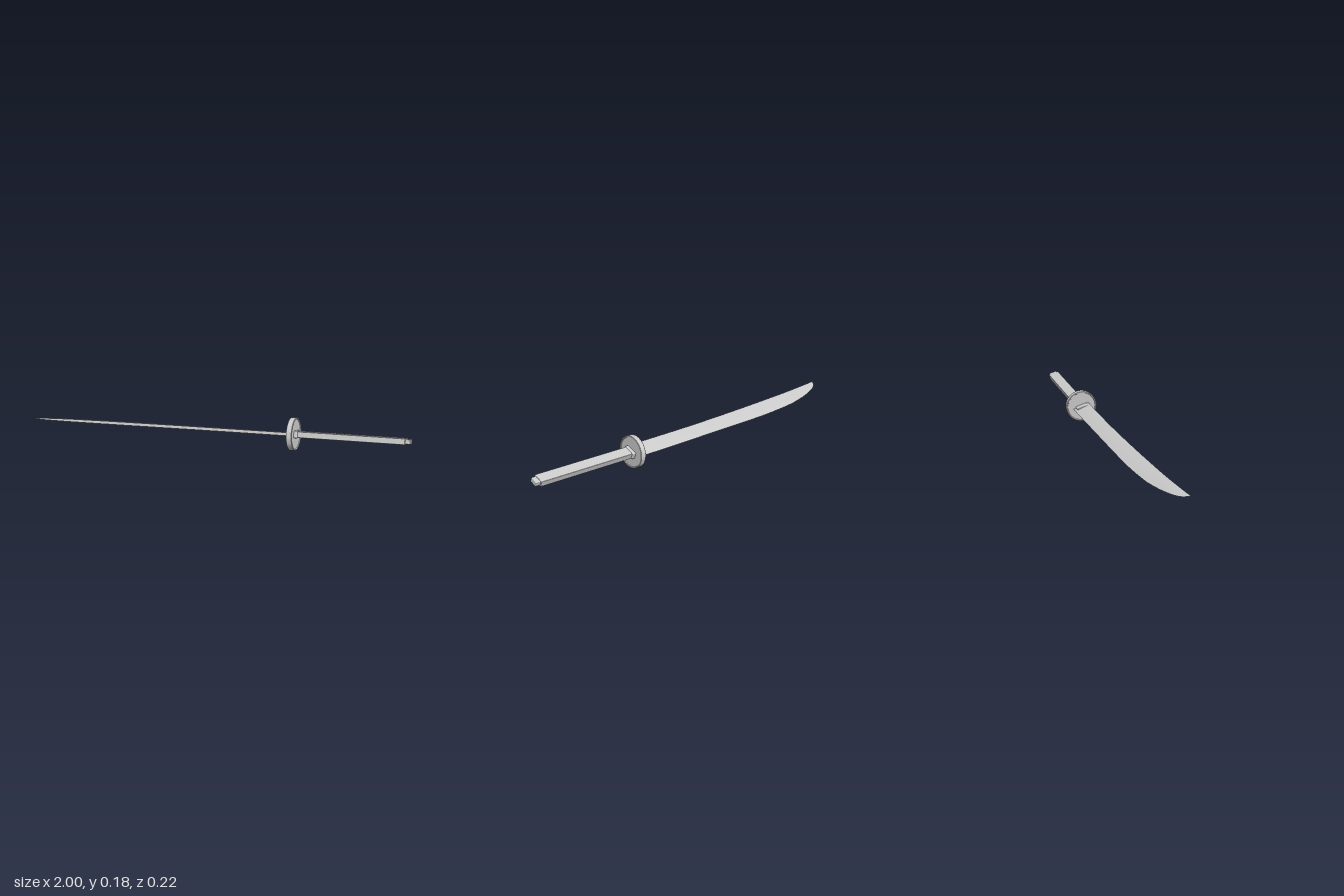
import * as THREE from 'three';
import { toCreasedNormals } from 'three/addons/utils/BufferGeometryUtils.js';
import { RoundedBoxGeometry } from 'three/addons/geometries/RoundedBoxGeometry.js';

const material = new THREE.MeshStandardMaterial({ color: 0xcccccc });

function addPart(parent, name, geometry) {
  const mesh = new THREE.Mesh(geometry, material);
  mesh.name = name;
  parent.add(mesh);
  return mesh;
}

// Rounded bar along the sword axis, from x0 to x1
function bar(parent, name, x0, x1, height, width, radius) {
  const geometry = new RoundedBoxGeometry(x1 - x0, height, width, 2, radius);
  geometry.translate((x0 + x1) / 2, 0, 0);
  return addPart(parent, name, geometry);
}

// Curved wedge blade: sections of spine, belly and cutting edge along its length
function bladeGeometry() {
  // position along axis, spine z, edge z, half thickness
  const stations = [
    [0, 0.04, -0.047, 0.008], [-0.2, 0.042, -0.044, 0.008], [-0.4, 0.045, -0.04, 0.008],
    [-0.65, 0.053, -0.035, 0.008], [-0.9, 0.064, -0.028, 0.008], [-1.1, 0.075, -0.012, 0.0075],
    [-1.2, 0.082, 0.005, 0.007], [-1.28, 0.089, 0.025, 0.006], [-1.35, 0.096, 0.05, 0.0045],
    [-1.39, 0.101, 0.074, 0.003], [-1.41, 0.105, 0.102, 0.001],
  ];
  const curve = (pick) => new THREE.CatmullRomCurve3(stations.map(pick), false, 'catmullrom');
  const outline = curve(([x, spine, edge]) => new THREE.Vector3(x, spine, edge));
  const thickness = curve(([x, , , t]) => new THREE.Vector3(x, t, 0));
  const rows = 60, ring = 7;
  const positions = [], index = [];
  for (let i = 0; i <= rows; i++) {
    const p = outline.getPoint(i / rows);
    const t = thickness.getPoint(i / rows).y;
    const at = (k) => THREE.MathUtils.lerp(p.y, p.z, k);
    const section = [[0, 1], [0.4, 0.85], [0.75, 0.45], [1, 0], [0.75, -0.45], [0.4, -0.85], [0, -1]];
    for (const [k, side] of section) positions.push(p.x, side * t, at(k));
  }
  for (let i = 0; i < rows; i++) {
    for (let j = 0; j < ring; j++) {
      const a = i * ring + j, b = i * ring + (j + 1) % ring;
      index.push(a, b, a + ring, b, b + ring, a + ring);
    }
  }
  // End caps
  const last = rows * ring;
  for (let j = 1; j < ring - 1; j++) {
    index.push(0, j + 1, j, last, last + j, last + j + 1);
  }
  const geometry = new THREE.BufferGeometry();
  geometry.setAttribute('position', new THREE.Float32BufferAttribute(positions, 3));
  geometry.setIndex(index);
  return toCreasedNormals(geometry, 0.5);
}

// Round guard with a raised rim on both faces
function guardGeometry() {
  const profile = [
    [0, -0.011], [0.075, -0.011], [0.077, -0.015], [0.081, -0.015], [0.083, -0.013],
    [0.083, 0.013], [0.081, 0.015], [0.077, 0.015], [0.075, 0.011], [0, 0.011],
  ].map(([r, y]) => new THREE.Vector2(r, y));
  const geometry = new THREE.LatheGeometry(profile, 64);
  geometry.rotateZ(-Math.PI / 2);
  return toCreasedNormals(geometry, 0.5);
}

export function createModel() {
  const sword = new THREE.Group();
  sword.name = 'sword';
  addPart(sword, 'blade', bladeGeometry());
  addPart(sword, 'guard', guardGeometry());
  bar(sword, 'bladeCollar', -0.05, 0, 0.018, 0.064, 0.004);
  bar(sword, 'handleCollar', 0, 0.03, 0.037, 0.067, 0.006);
  bar(sword, 'handle', 0, 0.572, 0.031, 0.057, 0.003);
  bar(sword, 'pommel', 0.56, 0.597, 0.025, 0.043, 0.004);

  // Sword lies rolled on its axis, with the handle raised
  sword.rotation.set(-0.315, 0, 0.088);
  sword.position.set(0.405, 0.1, -0.03);

  const model = new THREE.Group();
  model.name = 'model';
  model.add(sword);
  model.updateMatrixWorld(true);
  const box = new THREE.Box3().setFromObject(model, true);
  sword.position.y -= box.min.y;
  sword.position.x -= (box.min.x + box.max.x) / 2;
  return model;
}
